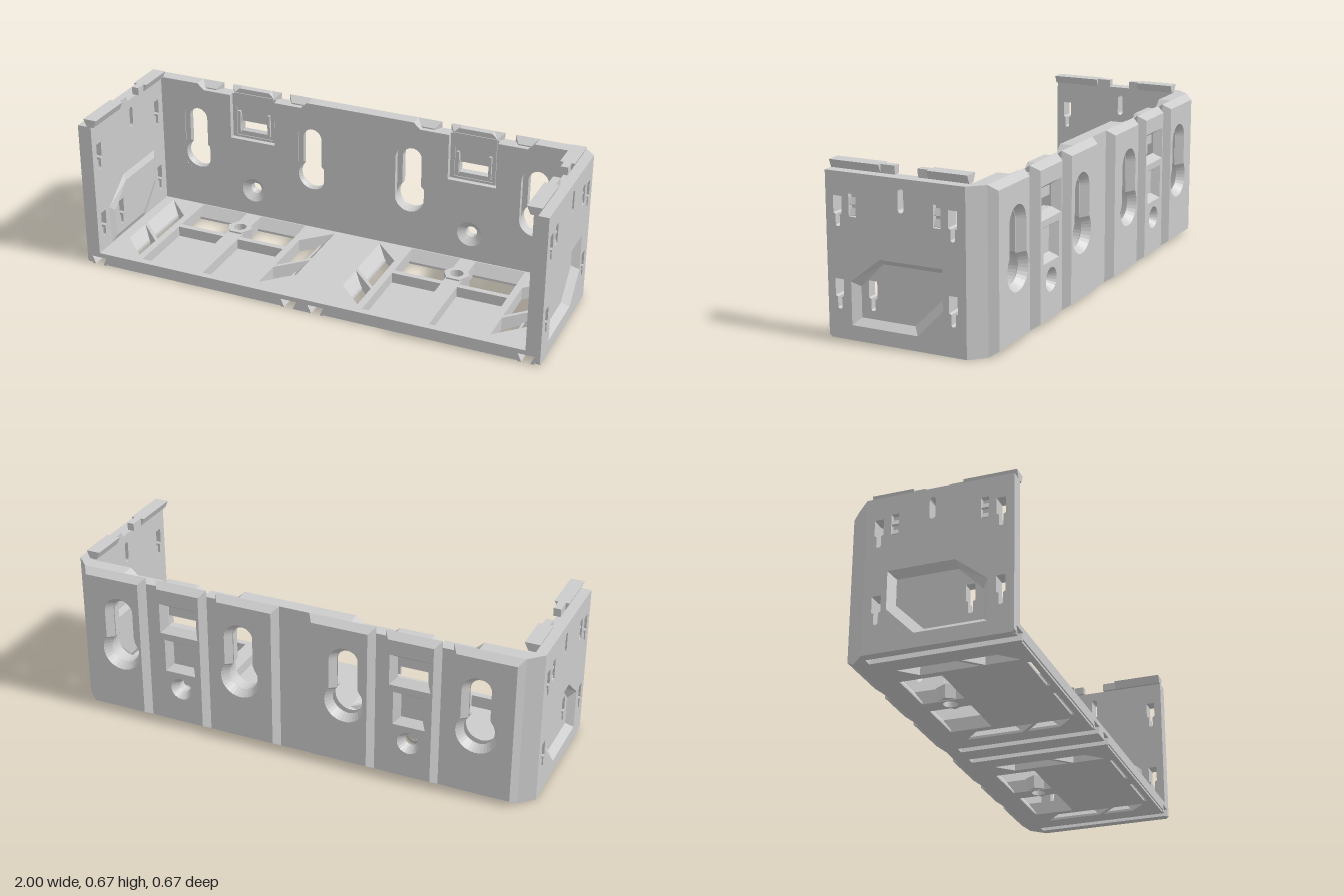
import * as THREE from 'three';

const solid = new THREE.MeshStandardMaterial({ color: 0xcccccc, flatShading: true });
const thin = new THREE.MeshStandardMaterial({ color: 0xcccccc, flatShading: true, side: THREE.DoubleSide });

const rect = (x0, x1, y0, y1) => [[x0, y0], [x1, y0], [x1, y1], [x0, y1]];
const flip = (pts) => pts.map(([x, y]) => [-x, y]);
const arc = (cx, cy, r, a0, a1, n = 16) => Array.from({ length: n + 1 }, (_, i) => {
  const a = a0 + (a1 - a0) * i / n;
  return [cx + r * Math.cos(a), cy + r * Math.sin(a)];
});
const circle = (cx, cy, r, n = 24) => arc(cx, cy, r, 0, Math.PI * 2, n).slice(0, n);
const stadium = (cx, y0, y1, r) => [...arc(cx, y1, r, 0, Math.PI), ...arc(cx, y0, r, Math.PI, 2 * Math.PI)];
// Large round opening below a narrower slot
function keyhole(cx, y0, y1, R, r) {
  const a = Math.acos(r / R);
  return [...arc(cx, y1, r, 0, Math.PI), ...arc(cx, y0, R, Math.PI - a, 2 * Math.PI + a, 24)];
}
// Square-cornered wall slot: wide above, narrow below
const hangSlot = (z, y) => [[z - 0.009, y + 0.005], [z - 0.005, y], [z + 0.005, y], [z + 0.009, y + 0.005], [z + 0.009, y + 0.045],
  [z + 0.018, y + 0.05], [z + 0.018, y + 0.115], [z - 0.018, y + 0.115], [z - 0.018, y + 0.05], [z - 0.009, y + 0.045]];

// Extruded outline. z: (x,y) from at forwards; y: (x,z) from at downwards; x: (z,y) from at inwards
function plate(pts, holes, depth, axis, at, bevel) {
  const vec = (l) => l.map(([x, y]) => new THREE.Vector2(x, y));
  const shape = new THREE.Shape(vec(pts));
  shape.holes = holes.map((h) => new THREE.Path(vec(h)));
  const g = new THREE.ExtrudeGeometry(shape, bevel ? { depth, bevelEnabled: true, bevelSegments: 1,
    bevelThickness: bevel[0], bevelSize: bevel[1], bevelOffset: -bevel[1] } : { depth, bevelEnabled: false });
  if (axis === 'y') return g.rotateX(Math.PI / 2).translate(0, at, 0);
  if (axis === 'x') return g.rotateY(-Math.PI / 2).translate(at, 0, 0);
  return g.translate(0, 0, at);
}

// Strip of faces between two loops of points
function band(a, b, closed = true) {
  const pos = [], n = a.length;
  for (let i = 0; i < (closed ? n : n - 1); i++) {
    const j = (i + 1) % n;
    pos.push(...a[i], ...a[j], ...b[j], ...a[i], ...b[j], ...b[i]);
  }
  const g = new THREE.BufferGeometry();
  g.setAttribute('position', new THREE.Float32BufferAttribute(pos, 3));
  g.computeVertexNormals();
  return g;
}

// Mirrored copy across x = 0 with the face order restored
function mirrored(geo) {
  const g = geo.index ? geo.toNonIndexed() : geo.clone();
  g.scale(-1, 1, 1);
  const p = g.attributes.position;
  const a = new THREE.Vector3(), b = new THREE.Vector3();
  for (let i = 0; i < p.count; i += 3) {
    a.fromBufferAttribute(p, i + 1);
    b.fromBufferAttribute(p, i + 2);
    p.setXYZ(i + 1, b.x, b.y, b.z);
    p.setXYZ(i + 2, a.x, a.y, a.z);
  }
  g.computeVertexNormals();
  return g;
}

export function createModel() {
  const root = new THREE.Group();
  const add = (name, g, mat = solid) => {
    const m = new THREE.Mesh(g, mat);
    m.name = name;
    root.add(m);
  };
  const pair = (name, g, mat = solid) => {
    add(name + 'Left', g, mat);
    add(name + 'Right', mirrored(g), mat);
  };
  const both = (list) => [...list, ...list.map(flip)];

  // Side walls: outer skin and inner skin, with an angled recess
  const outer = [[0.235, 0.058], [0.235, 0.225], [0.11, 0.325], [-0.153, 0.325], [-0.153, 0.17], [-0.043, 0.058]];
  const inner = [[0.21, 0.083], [0.21, 0.203], [0.113, 0.3], [-0.128, 0.3], [-0.128, 0.195], [-0.017, 0.083]];
  const at = (loop, x) => loop.map(([z, y]) => [x, y, z]);
  const slots = [hangSlot(0.285, 0.43), hangSlot(-0.193, 0.43), hangSlot(0.285, 0.115), hangSlot(-0.193, 0.115),
    stadium(0.018, 0.522, 0.588, 0.012)];
  const louvres = [0.222, -0.13];
  pair('sideOuterSkin', plate([[-0.245, 0], [0.325, 0], [0.335, 0.01], [0.335, 0.637], [-0.245, 0.637]],
    [...slots, outer, ...louvres.map((z) => rect(z - 0.015, z + 0.015, 0.472, 0.558))], 0.022, 'x', 1));
  pair('sideInnerSkin', plate(rect(-0.245, 0.335, 0.035, 0.637), [...slots, outer], 0.038, 'x', 0.978));
  pair('sideRecessFloor', plate(inner, [hangSlot(0.16, 0.115)], 0.042, 'x', 0.97));
  pair('sideRecessSlope', band(at(outer, 1), at(inner, 0.97)), thin);
  pair('sideRecessInnerSlope', band(at(outer, 0.94), at(inner, 0.928)), thin);
  for (const z of louvres) {
    for (const y of [0.488, 0.528]) {
      pair('sideLouvre', new THREE.BoxGeometry(0.008, 0.028, 0.03).rotateZ(0.5).translate(0.986, y, z));
    }
  }

  // Dovetail rails on top of the side walls
  const rail = [[0.927, 0.637], [0.957, 0.637], [0.972, 0.67], [0.912, 0.67]];
  for (const [z0, z1] of [[0.125, 0.335], [-0.238, -0.073]]) pair('topRail', plate(rail, [], z1 - z0, 'z', z0));
  for (const [z0, z1] of [[0.065, 0.125], [-0.073, -0.03]]) {
    pair('topRailTab', plate(rect(0.927, 0.957, 0.637, 0.67), [], z1 - z0, 'z', z0));
  }

  // Back wall: inner plate with wide openings and hook notches, then a middle plate
  const keys = [0.775, 0.228];
  const frontHalf = [[0.24, 0.637], [0.27, 0.61], [0.395, 0.61], [0.395, 0.41], [0.605, 0.41], [0.605, 0.61],
    [0.73, 0.61], [0.76, 0.637], [0.94, 0.637], [0.94, 0]];
  const midHalf = [[0.24, 0.637], [0.27, 0.61], [0.4, 0.61], [0.43, 0.637], [0.57, 0.637], [0.6, 0.61],
    [0.73, 0.61], [0.76, 0.637], [0.943, 0.637], [0.943, 0]];
  const full = (half) => [...half, ...flip(half).reverse()];
  const hookWindow = rect(0.437, 0.563, 0.442, 0.53);
  add('backInnerPlate', plate(full(frontHalf),
    both([...keys.map((x) => stadium(x, 0.29, 0.465, 0.065)), circle(0.5, 0.175, 0.055)]), 0.025, 'z', -0.27));
  add('backMiddlePlate', plate(full(midHalf),
    both([...keys.map((x) => keyhole(x, 0.29, 0.465, 0.065, 0.042)), circle(0.5, 0.175, 0.025), hookWindow]), 0.032, 'z', -0.302));
  pair('screwCountersink', new THREE.CylinderGeometry(0.055, 0.025, 0.025, 24, 1, true)
    .rotateX(Math.PI / 2).translate(0.5, 0.175, -0.2575), thin);
  pair('backCorner', plate([[0.94, -0.245], [1, -0.245], [0.943, -0.302], [0.94, -0.302]], [], 0.637, 'y', 0.637));

  // Raised pads on the back, with flared edges and openings
  const bevel = [0.033, 0.022];
  const pad = (x0, x1, top, holes) => plate(rect(x0, x1, 0, top), holes, 0.001, 'z', -0.302, bevel);
  pair('outerPad', pad(0.66, 0.943, 0.637, [keyhole(0.775, 0.29, 0.465, 0.063, 0.045)]));
  pair('innerPad', pad(0.065, 0.345, 0.637, [keyhole(0.228, 0.29, 0.465, 0.063, 0.045)]));
  pair('hookColumn', pad(0.385, 0.615, 0.637,
    [hookWindow, rect(0.455, 0.545, 0.27, 0.37), circle(0.5, 0.175, 0.025)]));

  // Hook tab across the upper half of each window
  pair('hookTab', new THREE.BoxGeometry(0.126, 0.045, 0.02).translate(0.5, 0.509, -0.285));
  for (const x of [0.43, 0.57]) {
    pair('hookCheek', new THREE.BoxGeometry(0.012, 0.1, 0.012).translate(x, 0.486, -0.265));
  }

  // Floor: three layers sharing the same openings
  const windows = [[-0.225, 0.01], [0.03, 0.165]];
  function floorHoles(layer) {
    const list = [circle(0.5, -0.105, 0.028)];
    for (const s of [-1, 1]) {
      const X = (u) => 0.5 + s * u;
      const u0 = layer === 'bottom' ? 0.345 : 0.395, dz = layer === 'bottom' ? 0.05 : 0;
      for (const [z0, z1] of windows) {
        list.push([[X(u0), z0 + dz], [X(0.28), z0 + 0.115], [X(0.28), z1 + 0.115], [X(u0), z1 + dz]]);
      }
      list.push(rect(X(0.035), X(0.25), layer === 'bottom' ? -0.205 : -0.24, -0.035));
      list.push(layer === 'bottom' ? rect(X(0.035), X(0.25), 0.293, 0.306) : rect(X(0.035), X(0.25), -0.01, 0.306));
    }
    return list;
  }
  add('floorTop', plate(rect(-0.94, 0.94, -0.245, 0.335), both(floorHoles('top')), 0.02, 'y', 0.055));
  pair('floorMiddle', plate(rect(0.095, 0.91, -0.245, 0.335), floorHoles('middle'), 0.025, 'y', 0.035));
  pair('floorBottom', plate(rect(0.095, 0.91, -0.245, 0.33), floorHoles('bottom'), 0.01, 'y', 0.01));
  add('floorSpine', plate(rect(-0.025, 0.025, 0, 0.035), [], 0.58, 'z', -0.245));

  // Sloped lips that narrow the floor grooves into dovetails
  for (const [x, s] of [[0.025, 1], [0.095, -1], [0.91, 1], [0.978, -1]]) {
    pair('grooveLip', plate([[x, 0], [x + s * 0.016, 0], [x, 0.035]], [], 0.58, 'z', -0.245));
  }

  // Sloped walls in the floor windows, rear ramps and hexagonal bosses
  for (const s of [-1, 1]) {
    for (const [z0, z1] of windows) {
      const a = 0.5 + s * 0.395, b = 0.5 + s * 0.345;
      pair('windowSlope', band([[a, 0.055, z0], [a, 0.055, z1]], [[b, 0, z0 + 0.05], [b, 0, z1 + 0.05]], false), thin);
    }
  }
  pair('rearRamp', plate([[-0.24, 0.01], [-0.205, 0.01], [-0.24, 0.055]], [], 0.5, 'x', 0.75));
  pair('hexBoss', plate(circle(0.5, -0.105, 0.056, 6), [circle(0.5, -0.105, 0.028)], 0.058, 'y', 0.062));

  return root;
}
